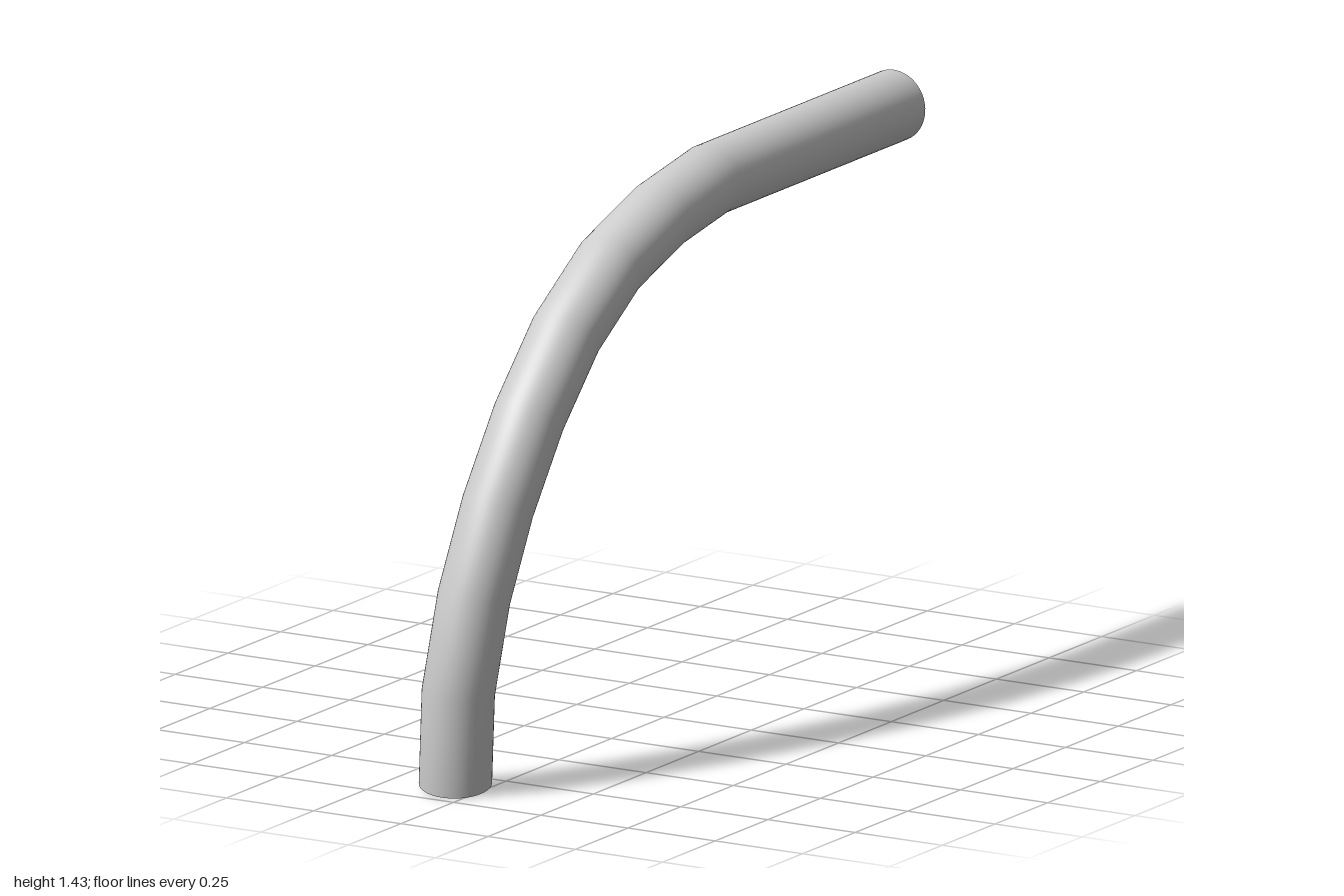
import * as THREE from 'three';

const SIDES = 48, OUTER = 0.09, INNER = 0.081, LEAN = 0.088;

// Centre line of the pipe in its own plane, as [z, y]
const PATH = [
  [-1, 1.345], [-0.125, 1.345], [0.105, 1.305], [0.33, 1.225], [0.52, 1.09],
  [0.67, 0.91], [0.788, 0.705], [0.87, 0.49], [0.91, 0.255], [0.889, 0.0165],
].map(([z, y]) => new THREE.Vector2(z, y));

// Mitred in-plane normal at each point; the lower end is cut slightly aslant
const MITRES = PATH.map((p, i) => {
  const dir = (a, b) => b.clone().sub(a).normalize();
  const last = PATH.length - 1;
  if (i === last) return new THREE.Vector2(0.986, -0.167);
  const after = dir(p, PATH[i + 1]);
  const before = i > 0 ? dir(PATH[i - 1], p) : after;
  const t = before.clone().add(after).normalize();
  return new THREE.Vector2(-t.y, t.x).divideScalar(t.dot(after));
});

function ringPoint(i, j, radius) {
  const a = (j / SIDES) * Math.PI * 2, s = Math.sin(a) * radius;
  return [Math.cos(a) * radius, PATH[i].y + MITRES[i].y * s, PATH[i].x + MITRES[i].x * s];
}

// Skin over a list of [path index, radius] rings
function skin(rings, flip) {
  const pos = [], index = [], row = SIDES + 1;
  rings.forEach(([i, r], k) => {
    for (let j = 0; j <= SIDES; j++) {
      pos.push(...ringPoint(i, j % SIDES, r));
      if (k === 0 || j === SIDES) continue;
      const a = (k - 1) * row + j, b = a + 1, c = a + row, d = c + 1;
      index.push(...(flip ? [a, c, b, b, c, d] : [a, b, c, b, d, c]));
    }
  });
  const g = new THREE.BufferGeometry();
  g.setAttribute('position', new THREE.Float32BufferAttribute(pos, 3));
  g.setIndex(index);
  g.computeVertexNormals();
  // Match normals along the seam
  const n = g.attributes.normal, v = new THREE.Vector3(), w = new THREE.Vector3();
  rings.forEach((_, k) => {
    const a = k * row, b = a + SIDES;
    v.fromBufferAttribute(n, a).add(w.fromBufferAttribute(n, b)).normalize();
    n.setXYZ(a, v.x, v.y, v.z);
    n.setXYZ(b, v.x, v.y, v.z);
  });
  return g;
}

export function createModel() {
  const model = new THREE.Group();
  model.name = 'bentPipe';
  const material = new THREE.MeshStandardMaterial({ color: 0xcccccc, side: THREE.DoubleSide });
  const add = (name, rings, flip) => {
    const mesh = new THREE.Mesh(skin(rings, flip), material);
    mesh.name = name;
    pipe.add(mesh);
  };

  // The whole pipe leans sideways
  const pipe = new THREE.Group();
  pipe.name = 'pipe';
  pipe.rotation.z = -LEAN;
  pipe.position.x = -0.063;
  model.add(pipe);

  const last = PATH.length - 1;
  add('outerWall', PATH.map((_, i) => [i, OUTER]), false);
  add('innerWall', PATH.map((_, i) => [i, INNER]), true);
  add('backRim', [[0, INNER], [0, OUTER]], false);
  add('lowerRim', [[last, OUTER], [last, INNER]], false);
  return model;
}
